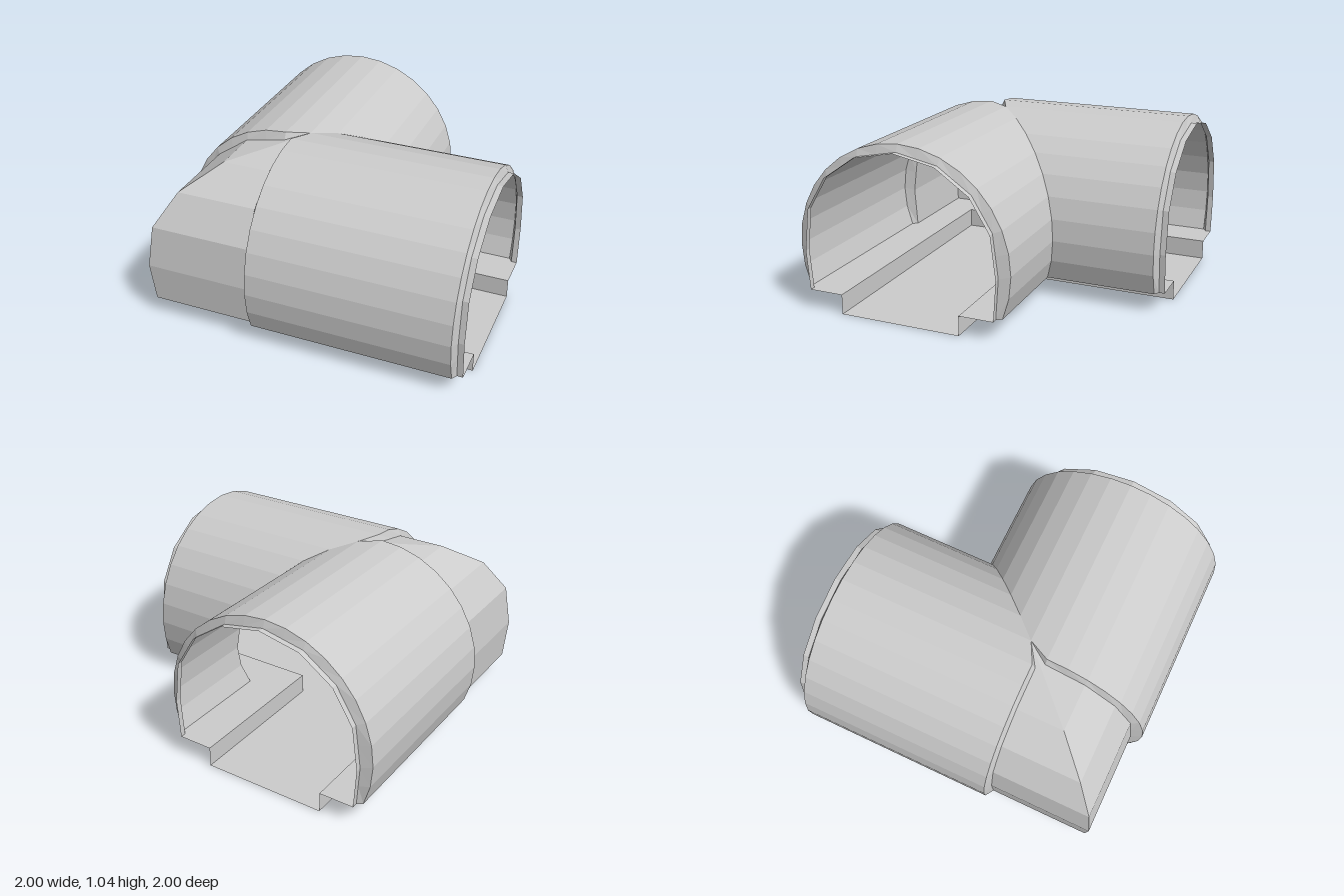
import * as THREE from 'three';

const C = 0.333; // distance of each arm's centre line from the origin
const material = new THREE.MeshStandardMaterial({ color: 0xcccccc, flatShading: true, side: THREE.DoubleSide });

// Narrow profile, half of it from the foot to the crown
const NARROW = [[0.585, 0.12], [0.602, 0.36], [0.57, 0.615], [0.45, 0.812], [0.25, 0.95], [0, 1.0]];

// Section points hold a wide and a narrow position, [offset, height] each
function archSection() {
  const points = [];
  for (let i = 0; i <= 20; i++) {
    const angle = THREE.MathUtils.degToRad(-22.5 + i * 11.25);
    const side = i <= 10 ? 1 : -1;
    const k = (i <= 10 ? i : 20 - i) / 2;
    const a = NARROW[Math.floor(k)], b = NARROW[Math.ceil(k)];
    points.push({
      wide: [0.667 * Math.cos(angle), 0.375 + 0.667 * Math.sin(angle)],
      narrow: [side * (a[0] + b[0]) / 2, (a[1] + b[1]) / 2],
    });
  }
  return points;
}

// Line of one section point along the arm, from the open end to the mitre
function rail({ wide, narrow }) {
  const at = ([u, y], z) => new THREE.Vector3(u - C, y, Math.min(z, C - u));
  const line = [at(narrow, -1), at(narrow, -0.965), at(wide, -0.945), at(wide, 0.27)];
  // Points that reach the mitre early stay wide, the rest step in at the corner
  const last = C - wide[0] <= 0.27 ? wide : narrow;
  line.push(at(last, 0.29), at(last, 9));
  return line;
}

// Skin between neighbouring rails; the second arm is reflected over the mitre
function skin(name, section, reflected) {
  const rails = section.map(rail);
  const positions = [];
  const triangle = (a, b, c) => {
    const area = b.clone().sub(a).cross(c.clone().sub(a)).length();
    if (area < 1e-7) return;
    for (const p of reflected ? [a, c, b] : [a, b, c]) {
      positions.push(...(reflected ? [-p.z, p.y, -p.x] : [p.x, p.y, p.z]));
    }
  };
  for (let i = 0; i < rails.length - 1; i++) {
    for (let j = 0; j < rails[i].length - 1; j++) {
      const a = rails[i][j], b = rails[i + 1][j], c = rails[i + 1][j + 1], d = rails[i][j + 1];
      triangle(a, d, c);
      triangle(a, c, b);
    }
  }
  const geometry = new THREE.BufferGeometry();
  geometry.setAttribute('position', new THREE.Float32BufferAttribute(positions, 3));
  geometry.computeVertexNormals();
  const mesh = new THREE.Mesh(geometry, material);
  mesh.name = name;
  return mesh;
}

export function createModel() {
  const group = new THREE.Group();
  group.name = 'cornerTunnel';

  const arch = archSection();
  // Ledges at the foot of the arch with a sunken channel between them
  const channel = [[-0.375, 0.12], [-0.375, 0], [0.375, 0], [0.375, 0.12]]
    .map((p) => ({ wide: p, narrow: p }));
  const floor = [arch[20], ...channel, arch[0]];

  for (const [prefix, reflected] of [['back', false], ['left', true]]) {
    const arm = new THREE.Group();
    arm.name = prefix + 'Arm';
    arm.add(skin(prefix + 'ArchShell', arch, reflected));
    arm.add(skin(prefix + 'FloorChannel', floor, reflected));
    group.add(arm);
  }
  return group;
}
